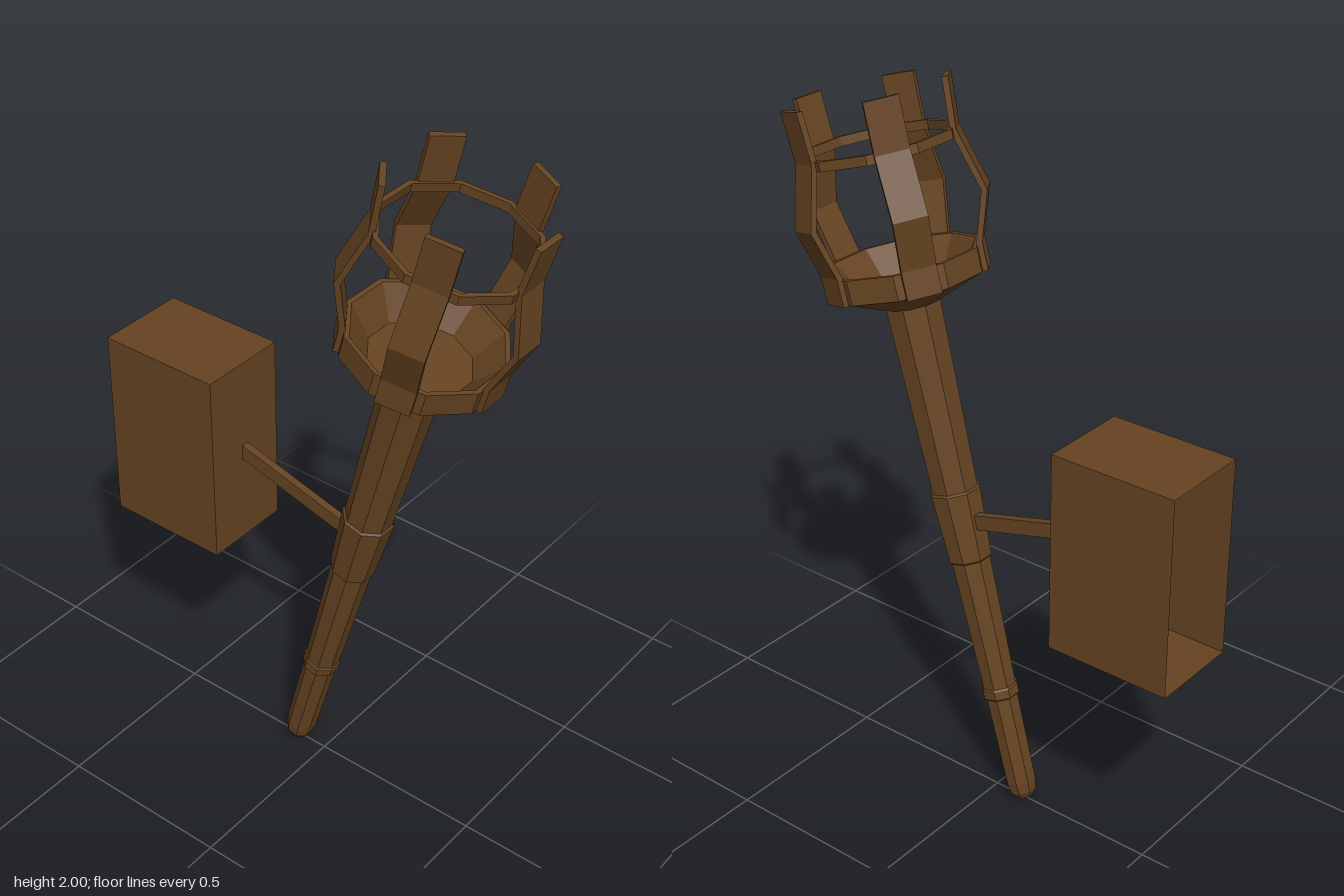
import * as THREE from 'three';

const TILT = THREE.MathUtils.degToRad(15);

export function createModel() {
  const wood = new THREE.MeshStandardMaterial({ color: 0x654321, flatShading: true });
  const openWood = wood.clone();
  openWood.side = THREE.DoubleSide;

  const model = new THREE.Group();
  model.name = 'wallTorch';

  // Everything but the wall block leans towards +x
  const torch = new THREE.Group();
  torch.name = 'torch';
  torch.position.x = -0.1;
  torch.rotation.z = -TILT;
  model.add(torch);

  const add = (parent, name, geometry, material = wood) => {
    const mesh = new THREE.Mesh(geometry, material);
    mesh.name = name;
    parent.add(mesh);
    return mesh;
  };
  // Faceted turned part from [radius, height] pairs
  const turned = (profile, sides, start = 0) =>
    new THREE.LatheGeometry(profile.map(([r, y]) => new THREE.Vector2(r, y)), sides, start);

  // Octagonal shaft: rounded tip, small collar, stepped sleeve, flared upper end
  add(torch, 'shaft', turned([
    [0, 0.005], [0.024, 0.012], [0.038, 0.032], [0.043, 0.065],
    [0.046, 0.33], [0.052, 0.335], [0.052, 0.36], [0.048, 0.365],
    [0.056, 0.745], [0.061, 0.75], [0.071, 0.945], [0.065, 0.95],
    [0.077, 1.475],
  ], 8, Math.PI / 8));

  // Ten-sided bowl with a sloping inside and a flat floor
  add(torch, 'bowl', turned([
    [0, 1.465], [0.075, 1.465], [0.21, 1.525], [0.21, 1.59],
    [0.197, 1.59], [0.135, 1.51], [0, 1.51],
  ], 10));

  // Thin hoop that ties the prongs together
  add(torch, 'hoop', turned([
    [0.196, 1.867], [0.21, 1.867], [0.21, 1.892], [0.196, 1.892], [0.196, 1.867],
  ], 10));

  // Five bent prongs around the bowl
  const outer = [[0.214, 1.522], [0.214, 1.595], [0.254, 1.725], [0.209, 1.885], [0.216, 2.018]];
  const inner = outer.map(([r, y]) => [r - 0.016, y]).reverse();
  const outline = new THREE.Shape([...outer, ...inner].map(([r, y]) => new THREE.Vector2(r, y)));
  const prongGeometry = new THREE.ExtrudeGeometry(outline, { depth: 0.09, bevelEnabled: false });
  prongGeometry.translate(0, 0, -0.045);
  for (let i = 0; i < 5; i++) {
    add(torch, 'prong', prongGeometry).rotation.y = (i * Math.PI * 2) / 5;
  }

  // Bracket rod from the shaft to the wall block
  add(torch, 'bracketRod', new THREE.BoxGeometry(0.41, 0.042, 0.022))
    .position.set(-0.225, 0.858, -0.004);

  // Wall block, open on the side that meets the wall
  const block = new THREE.BoxGeometry(0.36, 0.56, 0.26);
  const index = Array.from(block.index.array);
  index.splice(6, 6); // drop the -x face
  block.setIndex(index);
  block.clearGroups();
  add(model, 'wallBlock', block, openWood).position.set(-0.455, 0.935, -0.005);

  return model;
}
